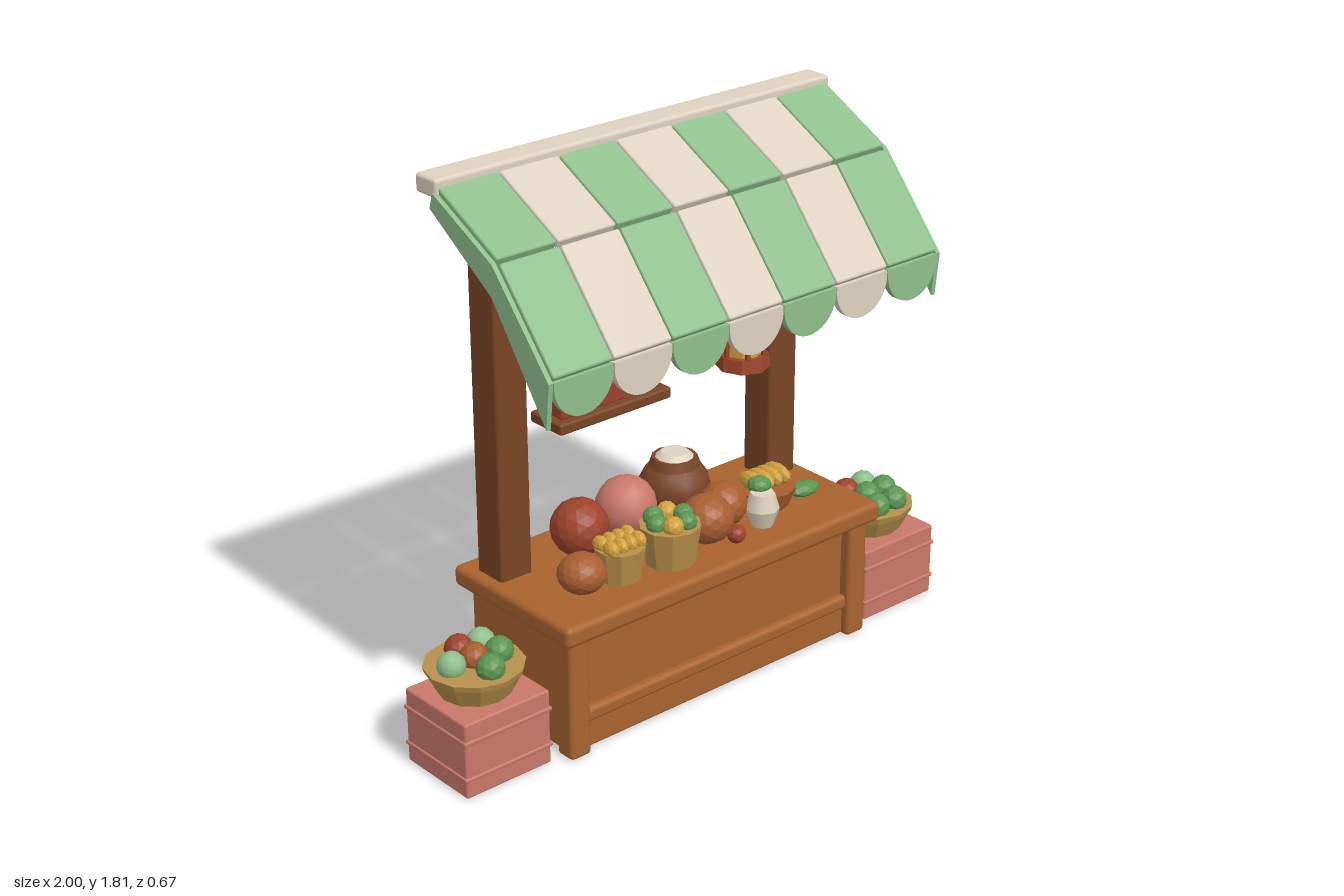
import * as THREE from 'three';
import { RoundedBoxGeometry } from 'three/addons/geometries/RoundedBoxGeometry.js';

const mat = (name, color, flat = false) => {
  const m = new THREE.MeshStandardMaterial({ color, flatShading: flat });
  m.name = name;
  return m;
};

export function createModel() {
  const model = new THREE.Group();
  model.name = 'marketStall';

  const wood = mat('warm wood', 0xa9632f);
  const darkWood = mat('dark wood', 0x7a4527);
  const green = mat('awning green', 0x8fbf8c);
  const cream = mat('cream', 0xddd2be);
  const pink = mat('dusty pink', 0xc9786b);
  const gold = mat('gold', 0xd2a03c, true);
  const straw = mat('straw', 0xb8904c, true);
  const rust = mat('rust red', 0x9c432b, true);
  const leaf = mat('leaf green', 0x5c9552, true);
  const pumpkin = mat('pumpkin brown', 0xa85e30, true);

  const add = (name, geo, material, x = 0, y = 0, z = 0, parent = model) => {
    const m = new THREE.Mesh(geo, material);
    m.name = name;
    m.position.set(x, y, z);
    parent.add(m);
    return m;
  };
  // box given by its limits on each axis
  const box = (name, material, x0, x1, y0, y1, z0, z1, r = 0.01, parent = model) =>
    add(name, new RoundedBoxGeometry(x1 - x0, y1 - y0, z1 - z0, 2, r), material,
      (x0 + x1) / 2, (y0 + y1) / 2, (z0 + z1) / 2, parent);
  const ball = (name, material, r, x, y, z, parent = model, detail = 1) =>
    add(name, new THREE.IcosahedronGeometry(r, detail), material, x, y, z, parent);
  const tube = (name, material, rt, rb, h, sides, x, y, z, parent = model) =>
    add(name, new THREE.CylinderGeometry(rt, rb, h, sides), material, x, y, z, parent);

  // Counter
  box('counterTop', wood, -0.66, 0.66, 0.41, 0.48, -0.335, 0.235, 0.02);
  box('cabinet', wood, -0.605, 0.605, 0, 0.415, -0.315, 0.165, 0.012);
  box('frontRail', wood, -0.56, 0.56, 0.1, 0.15, 0.15, 0.192, 0.015);
  box('kickBoard', wood, -0.56, 0.56, 0.004, 0.1, 0.15, 0.175);
  box('topTrim', wood, -0.56, 0.56, 0.395, 0.415, 0.15, 0.185, 0.006);
  for (const s of [-1, 1]) {
    const leg = box('frontLeg', wood, -0.04, 0.04, 0, 0.415, 0.13, 0.205, 0.015);
    leg.position.x = s * 0.59;
    const post = box('rearPost', darkWood, -0.06, 0.06, 0.38, 1.73, -0.26, -0.135, 0.012);
    post.position.x = s * 0.56;
  }

  // Awning: striped slabs in two slopes with a scalloped edge
  const awning = new THREE.Group();
  awning.name = 'awning';
  model.add(awning);
  box('ridgeBeam', cream, -0.78, 0.78, 1.75, 1.81, -0.275, -0.175, 0.012, awning);
  const W = 0.22, T = 0.036;
  const slab = (name, material, x, z0, y0, z1, y1) => {
    const a = Math.atan2(y0 - y1, z1 - z0);
    const m = add(name, new RoundedBoxGeometry(W - 0.004, T, Math.hypot(z1 - z0, y1 - y0), 2, 0.008), material,
      x, (y0 + y1) / 2 - T / 2 * Math.cos(a), (z0 + z1) / 2 - T / 2 * Math.sin(a), awning);
    m.rotation.x = a;
  };
  const scallop = new THREE.Shape();
  scallop.moveTo(-0.108, 1.345);
  scallop.lineTo(-0.108, 1.328);
  scallop.absarc(0, 1.328, 0.108, Math.PI, Math.PI * 2, false);
  scallop.lineTo(0.108, 1.345);
  const scallopGeo = new THREE.ExtrudeGeometry(scallop, { depth: 0.022, bevelEnabled: false, curveSegments: 16 });
  for (let i = 0; i < 7; i++) {
    const x = (i - 3) * W, m = i % 2 ? cream : green;
    slab('upperStripe', m, x, -0.185, 1.79, 0.09, 1.645);
    slab('lowerStripe', m, x, 0.1, 1.635, 0.335, 1.36);
    add('scallop', scallopGeo, m, x, 0, 0.31, awning);
  }
  const side = new THREE.Shape([[-0.185, 1.77], [0.085, 1.63], [0.33, 1.345], [0.315, 1.2], [0.08, 1.53], [-0.2, 1.72]]
    .map(([z, y]) => new THREE.Vector2(-z, y)));
  const sideGeo = new THREE.ExtrudeGeometry(side, { depth: 0.016, bevelEnabled: false });
  for (const x of [-0.785, 0.769]) {
    add('awningSide', sideGeo, green, x, 0, 0, awning).rotation.y = Math.PI / 2;
  }

  // Crates with baskets of vegetables
  const crateFruit = {
    '-1': [[-0.085, 0, green], [-0.005, -0.07, rust], [0, 0, pumpkin], [-0.005, 0.088, leaf], [0.08, 0.02, leaf], [0.07, -0.06, green]],
    '1': [[-0.035, -0.065, rust], [0, 0, leaf], [0.078, 0, leaf], [0.042, 0.085, leaf], [-0.04, 0.085, leaf], [0.05, -0.07, green]],
  };
  for (const s of [-1, 1]) {
    const crate = new THREE.Group();
    crate.name = 'crate';
    crate.position.set(s * 0.835, 0, 0.01);
    model.add(crate);
    box('crateBox', pink, -0.16, 0.16, 0, 0.255, -0.15, 0.15, 0.008, crate);
    for (const y of [0.065, 0.19]) box('crateBand', pink, -0.165, 0.165, y - 0.007, y + 0.007, -0.155, 0.155, 0.005, crate);
    tube('basket', straw, 0.152, 0.115, 0.075, 12, 0, 0.29, -0.01, crate);
    tube('basketRim', straw, 0.158, 0.152, 0.02, 12, 0, 0.333, -0.01, crate);
    for (const [x, z, m] of crateFruit[s]) ball('vegetable', m, 0.046, x, 0.363, z - 0.01, crate);
  }

  // Hanging rack with corn in small pots
  const rack = new THREE.Group();
  rack.name = 'hangingRack';
  rack.position.set(-0.215, 0, -0.135);
  model.add(rack);
  box('rackShelf', darkWood, -0.222, 0.222, 0.945, 0.982, -0.075, 0.075, 0.008, rack);
  for (const x of [-0.203, 0.203]) tube('rackRope', darkWood, 0.006, 0.006, 0.53, 6, x, 1.24, 0, rack);
  for (const x of [-0.143, 0, 0.143]) {
    box('cornPot', rust, x - 0.055, x + 0.055, 0.982, 1.052, -0.05, 0.05, 0.008, rack);
    tube('cornLower', gold, 0.04, 0.022, 0.075, 7, x, 1.088, 0, rack);
    tube('cornTip', gold, 0.014, 0.04, 0.056, 7, x, 1.153, 0, rack);
  }

  // Lantern
  const lantern = new THREE.Group();
  lantern.name = 'lantern';
  lantern.position.set(0.36, 0, -0.115);
  model.add(lantern);
  tube('lanternBase', rust, 0.083, 0.09, 0.045, 8, 0, 0.962, 0, lantern);
  tube('lanternGlass', gold, 0.062, 0.062, 0.18, 8, 0, 1.07, 0, lantern);
  for (let i = 0; i < 6; i++) {
    const a = i * Math.PI / 3;
    tube('lanternBar', rust, 0.009, 0.009, 0.18, 6, Math.cos(a) * 0.07, 1.07, Math.sin(a) * 0.07, lantern);
  }
  tube('lanternEave', rust, 0.085, 0.08, 0.025, 8, 0, 1.16, 0, lantern);
  tube('lanternRoof', rust, 0.045, 0.105, 0.085, 8, 0, 1.215, 0, lantern);
  tube('lanternCap', rust, 0.032, 0.045, 0.025, 8, 0, 1.268, 0, lantern);
  add('lanternRing', new THREE.TorusGeometry(0.027, 0.008, 6, 14), rust, 0, 1.305, 0, lantern);
  tube('lanternRope', darkWood, 0.006, 0.006, 0.18, 6, 0, 1.42, 0, lantern);

  // Cloth on a peg
  box('cloth', pink, 0.52, 0.595, 1.15, 1.25, -0.137, -0.09, 0.01);
  box('peg', rust, 0.53, 0.585, 1.245, 1.27, -0.137, -0.095, 0.006);

  // Goods on the counter
  const squash = (m, k) => { m.scale.y = k; return m; };
  squash(ball('pumpkin', pumpkin, 0.078, -0.47, 0.545, 0.07, model, 2), 0.83);
  ball('redMelon', rust, 0.095, -0.315, 0.575, -0.13, model, 2);
  ball('pinkMelon', pink, 0.1, -0.125, 0.588, -0.13, model, 2);
  squash(ball('pumpkin', pumpkin, 0.088, 0.042, 0.56, 0.067, model, 2), 0.93);
  squash(ball('pumpkin', pumpkin, 0.08, 0.165, 0.552, 0.01, model, 2), 0.93);
  ball('tomato', rust, 0.031, 0.103, 0.512, 0.14);

  squash(ball('pot', darkWood, 0.118, 0.11, 0.575, -0.165, model, 2), 0.88);
  tube('potNeck', darkWood, 0.075, 0.085, 0.03, 12, 0.11, 0.662, -0.165);
  tube('potLid', cream, 0.045, 0.07, 0.022, 12, 0.11, 0.682, -0.165);

  tube('cornBasket', straw, 0.083, 0.066, 0.11, 10, -0.32, 0.535, 0.07);
  for (let i = 0; i < 8; i++) {
    const x = -0.374 + (i % 4) * 0.036, z = i < 4 ? 0.095 : 0.045;
    ball('corn', gold, 0.027, x, 0.6, z).scale.set(0.8, 1.1, 1.2);
  }
  tube('greensBasket', straw, 0.1, 0.08, 0.13, 10, -0.132, 0.545, 0.09);
  for (let i = 0; i < 6; i++) {
    const a = i * Math.PI / 3;
    ball('greens', i % 3 === 2 ? gold : leaf, 0.034, -0.132 + Math.cos(a) * 0.055, 0.624, 0.09 + Math.sin(a) * 0.055);
  }

  tube('jugLower', cream, 0.056, 0.036, 0.06, 8, 0.252, 0.512, 0.1);
  tube('jugUpper', cream, 0.04, 0.056, 0.055, 8, 0.252, 0.569, 0.1);
  ball('jugLeaf', leaf, 0.04, 0.27, 0.605, 0.065).scale.y = 0.7;

  tube('tray', pumpkin, 0.105, 0.08, 0.065, 10, 0.365, 0.515, -0.01);
  for (let i = 0; i < 4; i++) ball('corn', gold, 0.034, 0.312 + i * 0.036, 0.573, -0.01).scale.set(0.75, 1, 1.8);

  ball('cucumber', leaf, 0.06, 0.5, 0.507, 0.035).scale.set(1, 0.4, 0.65);

  return model;
}
